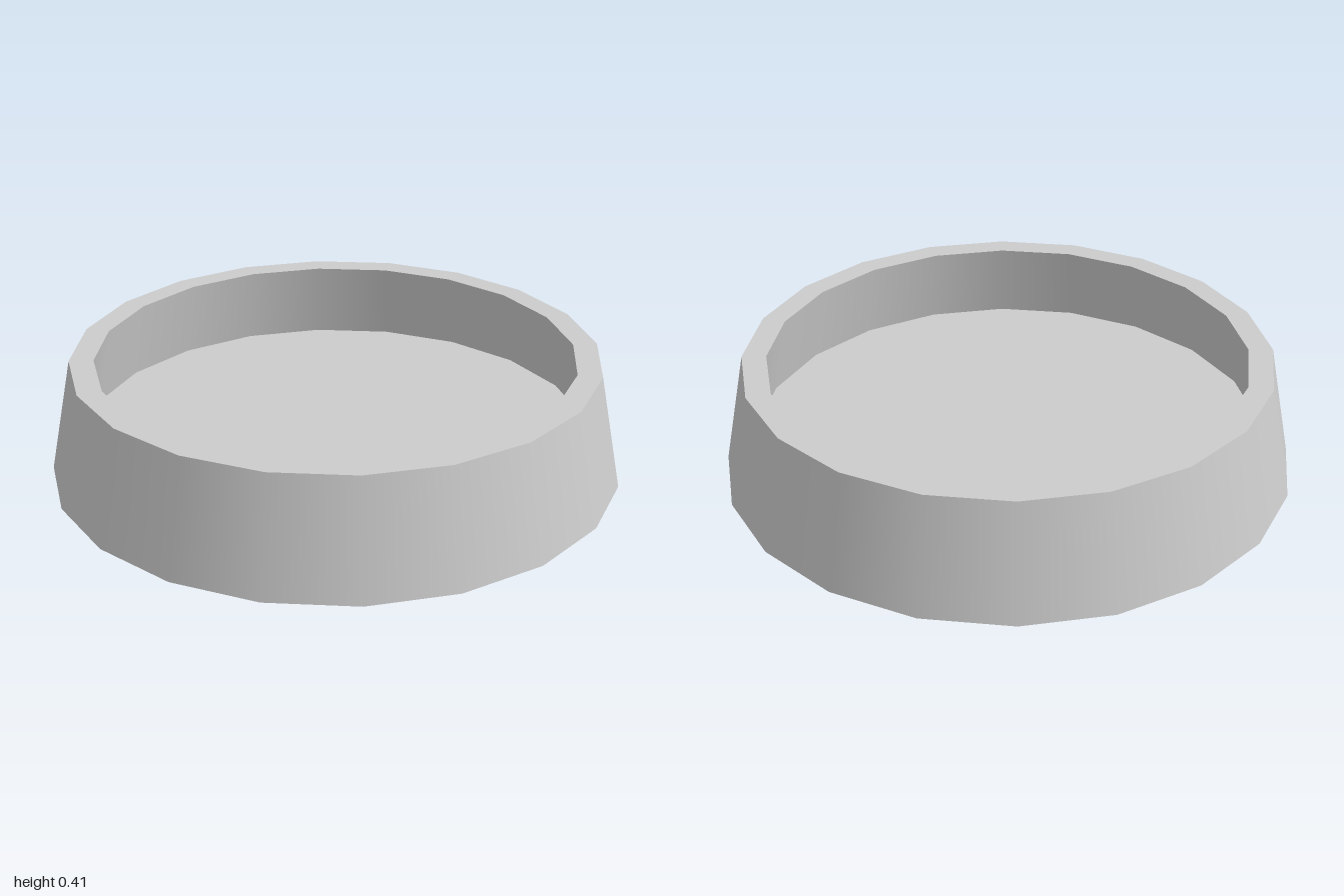
import * as THREE from 'three';

const SIDES = 20;

export function createModel() {
  const group = new THREE.Group();
  group.name = 'dish';
  const material = new THREE.MeshStandardMaterial({ color: 0xcccccc });

  // Profile corners [radius, height], from the underside centre round to the floor centre
  const profile = [[0, 0], [1, 0], [0.92, 0.405], [0.835, 0.405], [0.89, 0.122], [0, 0.122]]
    .map(([r, y]) => new THREE.Vector2(r, y));
  const names = ['underside', 'outerWall', 'rim', 'innerWall', 'floor'];

  // One lathe per profile segment: smooth around, crisp at the corners
  names.forEach((name, i) => {
    const mesh = new THREE.Mesh(new THREE.LatheGeometry([profile[i], profile[i + 1]], SIDES), material);
    mesh.name = name;
    group.add(mesh);
  });
  return group;
}
